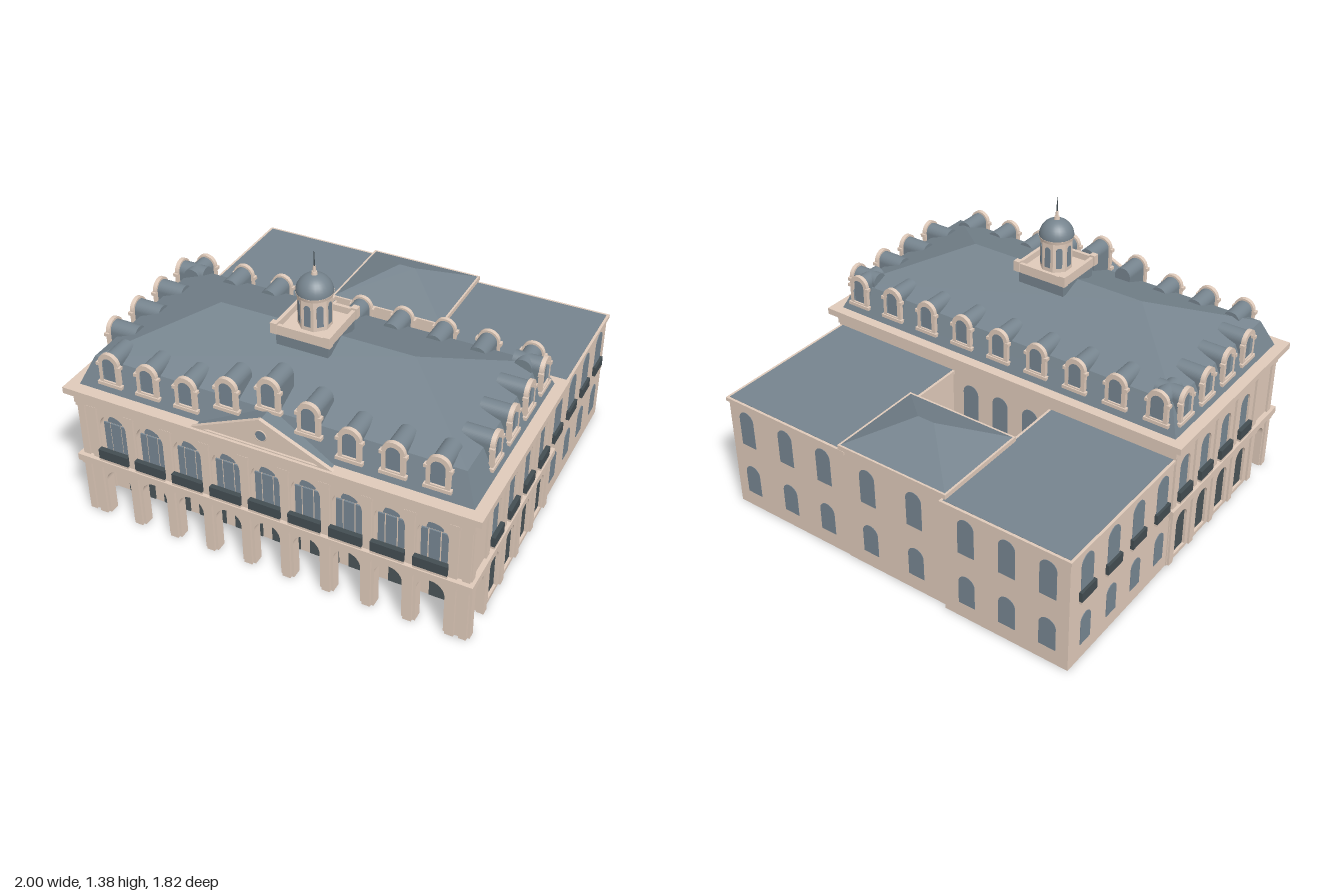
import * as THREE from 'three';

const material = (name, color) => Object.assign(new THREE.MeshStandardMaterial({ color }), { name });

export function createModel() {
  const stone = material('stone', 0xdfcaba);
  const slate = material('slate', 0x76848e);
  const glass = material('glass', 0x778692);
  const door = material('door', 0x4b5558);
  const iron = material('iron', 0x434d52);

  const model = new THREE.Group();
  model.name = 'townHall';

  // One group per facade: local x runs along the wall, local z points outwards
  const face = {};
  [['front', 0], ['right', Math.PI / 2], ['back', Math.PI], ['left', -Math.PI / 2]].forEach(([name, turn]) => {
    face[name] = new THREE.Group();
    face[name].name = name + 'Facade';
    face[name].rotation.y = turn;
    model.add(face[name]);
  });

  const add = (parent, name, geometry, mat) => {
    const mesh = new THREE.Mesh(geometry, mat);
    mesh.name = name;
    parent.add(mesh);
    return mesh;
  };
  const block = (parent, name, mat, x0, x1, y0, y1, z0, z1) => {
    const mesh = add(parent, name, new THREE.BoxGeometry(x1 - x0, y1 - y0, z1 - z0), mat);
    mesh.position.set((x0 + x1) / 2, (y0 + y1) / 2, (z0 + z1) / 2);
    return mesh;
  };
  const extrude = (parent, name, mat, shape, d0, d1) => {
    const geometry = new THREE.ExtrudeGeometry(shape, { depth: d1 - d0, bevelEnabled: false, curveSegments: 12 });
    const mesh = add(parent, name, geometry, mat);
    mesh.position.z = d0;
    return mesh;
  };

  // Round-headed outline, also usable as a notch or a hole
  const archLine = (path, u, w, y, top) => {
    path.lineTo(u - w / 2, y);
    path.lineTo(u - w / 2, top - w / 2);
    path.absarc(u, top - w / 2, w / 2, Math.PI, 0, true);
    path.lineTo(u + w / 2, y);
  };
  const arch = (u, w, y, top) => {
    const shape = new THREE.Shape();
    shape.moveTo(u - w / 2, y);
    archLine(shape, u, w, y, top);
    return shape;
  };
  const wallShape = (u0, u1, y0, y1, openings) => {
    const shape = new THREE.Shape();
    shape.moveTo(u0, y0);
    [...openings].sort((a, b) => a[0] - b[0]).forEach(([u, w, y, top]) => {
      if (y <= y0) archLine(shape, u, w, y0, top);
      else shape.holes.push(arch(u, w, y, top));
    });
    shape.lineTo(u1, y0);
    shape.lineTo(u1, y1);
    shape.lineTo(u0, y1);
    return shape;
  };
  // Faceted roof through stacked rectangles [x0, x1, z0, z1, y]
  const hipRoof = (name, levels) => {
    const points = [];
    const ring = ([x0, x1, z0, z1, y]) => [[x0, y, z1], [x1, y, z1], [x1, y, z0], [x0, y, z0]];
    for (let i = 0; i + 1 < levels.length; i++) {
      const a = ring(levels[i]), b = ring(levels[i + 1]);
      for (let k = 0; k < 4; k++) {
        const n = (k + 1) % 4;
        points.push(...a[k], ...a[n], ...b[n], ...a[k], ...b[n], ...b[k]);
      }
    }
    const geometry = new THREE.BufferGeometry();
    geometry.setAttribute('position', new THREE.Float32BufferAttribute(points, 3));
    geometry.computeVertexNormals();
    return add(model, name, geometry, slate);
  };

  // Thin walls [x0, x1, z0, z1] around a hollow interior, open underneath
  [
    [-0.935, 0.935, 0.69, 0.7], [-0.935, -0.925, -0.1, 0.7], [0.925, 0.935, -0.1, 0.7],
    [-0.95, -0.925, -0.1, -0.09], [0.925, 0.95, -0.1, -0.09],
    [-0.95, -0.94, -0.9, -0.1], [0.94, 0.95, -0.88, -0.1],
    [-0.95, -0.31, -0.9, -0.89], [0.25, 0.95, -0.88, -0.87],
    [-0.32, -0.31, -0.9, -0.873], [-0.31, 0.255, -0.883, -0.873],
    [-0.32, -0.31, -0.41, -0.1], [0.25, 0.26, -0.41, -0.1],
    [-0.32, 0.26, -0.1, -0.09], [-0.32, 0.26, -0.42, -0.41],
  ].forEach(([x0, x1, z0, z1]) => block(model, 'wall', stone, x0, x1, 0, 0.585, z0, z1));

  // Main block, its upper floor reaching forward over the gallery
  block(model, 'galleryUpperFloor', stone, -0.93, 0.93, 0.28, 0.665, 0.7, 0.84);
  block(model, 'attic', stone, -0.93, 0.93, 0.582, 0.665, -0.1, 0.7);
  block(model, 'middleCorniceFront', stone, -0.975, 0.975, 0.29, 0.325, 0.69, 0.895);
  [-1, 1].forEach(s => block(model, 'middleCorniceSide', stone, Math.min(s * 0.93, s * 0.975), Math.max(s * 0.93, s * 0.975), 0.29, 0.325, -0.11, 0.7));
  block(model, 'frieze', stone, -0.965, 0.965, 0.615, 0.668, -0.11, 0.88);
  block(model, 'mainCornice', stone, -1, 1, 0.668, 0.7, -0.14, 0.905);

  const pilaster = (f, u, w, y0, y1, d0, d1) => {
    block(f, 'pilaster', stone, u - w / 2, u + w / 2, y0, y1, d0, d1);
    block(f, 'pilasterCap', stone, u - w / 2 - 0.006, u + w / 2 + 0.006, y1 - 0.018, y1, d0, d1 + 0.005);
  };
  const balcony = (f, u, w, d, depth) => {
    block(f, 'balconySlab', stone, u - w / 2, u + w / 2, 0.325, 0.336, d, d + depth);
    block(f, 'balconyRailing', iron, u - w / 2, u + w / 2, 0.336, 0.386, d, d + depth);
  };

  // Front: open arcade below, glazed arches above
  const bays = Array.from({ length: 9 }, (_, i) => (i - 4) * 0.195);
  const front = face.front;
  extrude(front, 'arcade', stone, wallShape(-0.955, 0.955, 0, 0.29, bays.map(u => [u, 0.13, 0, 0.262])), 0.82, 0.87);
  extrude(front, 'upperWall', stone, wallShape(-0.95, 0.95, 0.32, 0.62, bays.map(u => [u, 0.14, 0.33, 0.58])), 0.84, 0.865);
  bays.forEach(u => {
    extrude(front, 'galleryDoor', door, arch(u, 0.145, 0.004, 0.275), 0.7, 0.706);
    [[-0.046, 0.028], [0, 0.048], [0.046, 0.028]].forEach(([o, w]) =>
      block(front, 'windowPane', glass, u + o - w / 2, u + o + w / 2, 0.335, 0.522, 0.84, 0.847));
    extrude(front, 'windowLunette', glass, arch(u, 0.074, 0.53, 0.568), 0.84, 0.847);
    balcony(front, u, 0.156, 0.865, 0.024);
  });
  for (let i = 0; i < 10; i++) {
    const u = (i - 4.5) * 0.195;
    pilaster(front, u, 0.04, 0, 0.29, 0.87, 0.883);
    pilaster(front, u, 0.04, 0.325, 0.617, 0.865, 0.876);
  }
  [-0.937, 0.937].forEach(u => {
    pilaster(front, u, 0.035, 0, 0.29, 0.86, 0.88);
    pilaster(front, u, 0.035, 0.325, 0.617, 0.86, 0.874);
  });

  // Sides: gallery end arch, doors, balcony windows and wing windows
  const mainZ = [0.585, 0.395, 0.205, 0.015];
  const wingZ = [-0.18, -0.38, -0.575, -0.775];
  [['right', -1], ['left', 1]].forEach(([side, s]) => {
    const f = face[side];
    const ends = [s * -0.1, s * 0.868].sort((a, b) => a - b);
    const doors = mainZ.map(z => [s * z, 0.098, 0.02, 0.245]);
    extrude(f, 'sideGroundWall', stone, wallShape(...ends, 0, 0.29, [...doors, [s * 0.763, 0.112, 0, 0.256]]), 0.93, 0.955);
    extrude(f, 'sideUpperWall', stone, wallShape(...ends, 0.32, 0.62, mainZ.map(z => [s * z, 0.09, 0.335, 0.557])), 0.93, 0.95);
    mainZ.forEach(z => {
      extrude(f, 'sideDoor', door, arch(s * z, 0.098, 0.02, 0.245), 0.935, 0.942);
      extrude(f, 'sideWindow', glass, arch(s * z, 0.09, 0.335, 0.557), 0.935, 0.94);
      balcony(f, s * z, 0.112, 0.95, 0.02);
    });
    [0.845, 0.69, 0.49, 0.3, 0.11, -0.075].forEach(z => {
      pilaster(f, s * z, 0.036, 0, 0.29, 0.955, 0.965);
      pilaster(f, s * z, 0.036, 0.325, 0.617, 0.95, 0.96);
    });
    wingZ.forEach(z => {
      extrude(f, 'wingWindow', glass, arch(s * z, 0.075, 0.08, 0.24), 0.95, 0.953);
      extrude(f, 'wingUpperWindow', glass, arch(s * z, 0.09, 0.335, 0.557), 0.95, 0.953);
      balcony(f, s * z, 0.112, 0.95, 0.016);
    });
  });

  // Flat roofs of the rear wings either side of the open courtyard
  [[-0.95, -0.31, -0.9], [0.25, 0.95, -0.88]].forEach(([x0, x1, z0]) => {
    block(model, 'wingCornice', stone, x0 - 0.01, x1 + 0.01, 0.582, 0.6, z0 - 0.01, -0.1);
    block(model, 'wingRoof', slate, x0 + 0.003, x1 - 0.003, 0.598, 0.6015, z0 + 0.003, -0.1);
  });
  block(model, 'pavilionUpperWall', stone, -0.312, 0.255, 0.582, 0.61, -0.883, -0.41);
  block(model, 'pavilionCornice', stone, -0.325, 0.268, 0.607, 0.63, -0.895, -0.395);
  hipRoof('pavilionRoof', [[-0.315, 0.258, -0.885, -0.405, 0.63], [-0.072, 0.015, -0.645, -0.645, 0.745]]);
  const rearBays = [[0.85, 0.88], [0.61, 0.88], [0.38, 0.88], [0.12, 0.883], [-0.14, 0.883], [-0.43, 0.9], [-0.64, 0.9], [-0.845, 0.9]];
  rearBays.forEach(([x, d]) => [[0.08, 0.24], [0.36, 0.55]].forEach(([y, top]) =>
    extrude(face.back, 'rearWindow', glass, arch(-x, 0.085, y, top), d, d + 0.002)));
  [-0.195, -0.025, 0.145].forEach(x => [[0.08, 0.24], [0.36, 0.55]].forEach(([y, top]) =>
    extrude(face.back, 'courtyardWindow', glass, arch(-x, 0.085, y, top), 0.1, 0.102)));

  // Mansard roof
  hipRoof('mansardRoof', [[-0.945, 0.945, -0.09, 0.848, 0.7], [-0.885, 0.885, -0.03, 0.793, 0.835], [-0.475, 0.475, 0.383, 0.383, 0.997]]);

  // Dormers with arched stone surrounds
  const dormer = (f, u, y, d) => {
    const top = y + 0.168;
    const frame = arch(u, 0.104, y, top);
    frame.holes.push(arch(u, 0.064, y + 0.022, top - 0.024));
    extrude(f, 'dormerFrame', stone, frame, d - 0.02, d);
    extrude(f, 'dormerGlass', glass, arch(u, 0.066, y + 0.02, top - 0.023), d - 0.019, d - 0.012);
    extrude(f, 'dormerRoof', slate, arch(u, 0.084, y, top - 0.01), d - 0.15, d - 0.019);
    block(f, 'dormerSill', stone, u - 0.062, u + 0.062, y, y + 0.016, d - 0.02, d + 0.006);
    [-1, 1].forEach(s => block(f, 'dormerShoulder', stone, u + s * 0.054 - 0.008, u + s * 0.054 + 0.008, y + 0.1, y + 0.116, d - 0.02, d + 0.004));
  };
  bays.forEach((u, i) => {
    const rise = Math.max(0, 2 - Math.abs(i - 4));
    dormer(front, u, 0.735 + rise * 0.05, 0.843 - rise * 0.016);
    dormer(face.back, (i - 4) * 0.21, 0.735, 0.083);
  });
  mainZ.forEach(z => {
    dormer(face.right, -z, 0.735, 0.935);
    dormer(face.left, z, 0.735, 0.935);
  });

  // Pediment with a round window
  const triangle = (w, y0, y1) => new THREE.Shape([[-w, y0], [w, y0], [0, y1]].map(p => new THREE.Vector2(...p)));
  extrude(front, 'pedimentRoof', slate, triangle(0.325, 0.7, 0.845), 0.78, 0.875);
  extrude(front, 'pediment', stone, triangle(0.32, 0.7, 0.84), 0.86, 0.882);
  const rake = triangle(0.34, 0.7, 0.852);
  rake.holes.push(triangle(0.275, 0.705, 0.83));
  extrude(front, 'pedimentMoulding', stone, rake, 0.874, 0.892);
  add(front, 'roundWindow', new THREE.CircleGeometry(0.026, 20), glass).position.set(0, 0.762, 0.884);
  add(front, 'roundWindowRim', new THREE.TorusGeometry(0.027, 0.003, 6, 20), stone).position.set(0, 0.762, 0.883);

  // Cupola: terrace, octagonal lantern, dome and spire
  const cupola = new THREE.Group();
  cupola.name = 'cupola';
  cupola.position.z = 0.385;
  model.add(cupola);
  block(cupola, 'cupolaBase', slate, -0.125, 0.125, 0.958, 1.018, -0.125, 0.125);
  block(cupola, 'terraceFloor', stone, -0.135, 0.135, 1.015, 1.03, -0.135, 0.135);
  for (let k = 0; k < 4; k++) {
    const edge = new THREE.Group();
    edge.name = 'terraceEdge';
    edge.rotation.y = k * Math.PI / 2;
    cupola.add(edge);
    block(edge, 'parapet', stone, -0.135, 0.135, 1.02, 1.062, 0.118, 0.135);
    block(edge, 'parapetPost', stone, 0.113, 0.143, 1.02, 1.072, 0.113, 0.143);
  }
  const turned = (name, mat, r0, r1, y0, y1, sides) => {
    const mesh = add(cupola, name, new THREE.CylinderGeometry(r1, r0, y1 - y0, sides), mat);
    mesh.position.y = (y0 + y1) / 2;
    mesh.rotation.y = Math.PI / sides;
    return mesh;
  };
  const lantern = turned('lantern', stone, 0.077, 0.077, 1.02, 1.185, 8);
  lantern.geometry = lantern.geometry.toNonIndexed();
  lantern.geometry.computeVertexNormals();
  turned('lanternCornice', stone, 0.08, 0.084, 1.178, 1.194, 24);
  for (let k = 0; k < 8; k++) {
    const pane = extrude(cupola, 'lanternWindow', glass, arch(0, 0.03, 1.05, 1.155), 0, 0.002);
    const turn = k * Math.PI / 4;
    pane.rotation.y = turn;
    pane.position.set(Math.sin(turn) * 0.0712, 0, Math.cos(turn) * 0.0712);
  }
  const dome = add(cupola, 'dome', new THREE.SphereGeometry(0.083, 24, 10, 0, Math.PI * 2, 0, Math.PI / 2), slate);
  dome.position.y = 1.192;
  turned('finialBase', stone, 0.015, 0.012, 1.268, 1.288, 12);
  turned('finial', stone, 0.008, 0.006, 1.285, 1.315, 12);
  turned('spire', iron, 0.004, 0.001, 1.31, 1.385, 8);

  return model;
}
